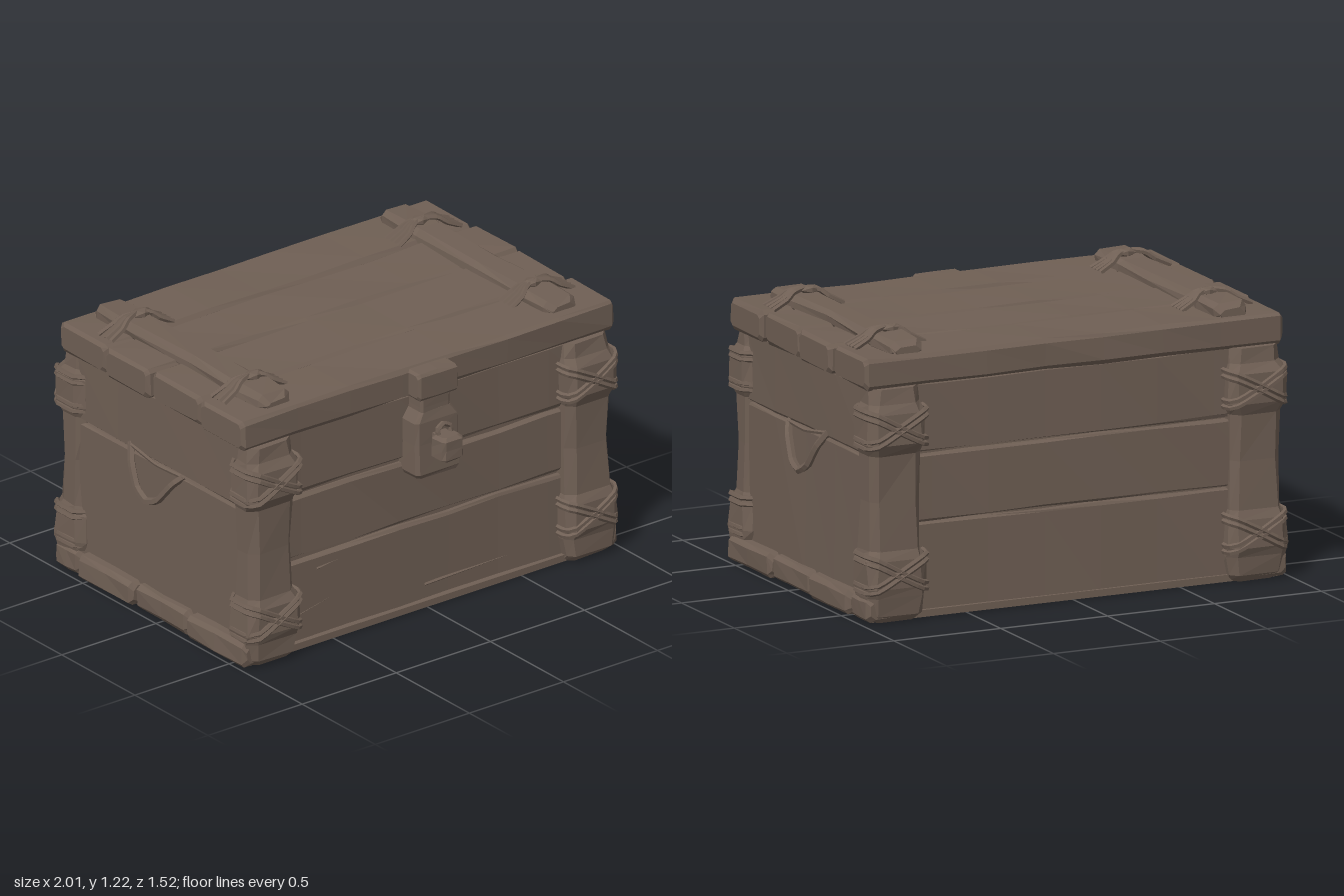
import * as THREE from 'three';

const wood = new THREE.MeshStandardMaterial({ color: 0x6f5f54 });
wood.name = 'weathered brown';

let seed = 7;
const rand = () => {
  seed = (seed * 16807) % 2147483647;
  return seed / 2147483647 - 0.5;
};

// Faceted mesh
function part(parent, name, geometry) {
  const g = geometry.index ? geometry.toNonIndexed() : geometry;
  g.computeVertexNormals();
  const mesh = new THREE.Mesh(g, wood);
  mesh.name = name;
  parent.add(mesh);
  return mesh;
}

// Hewn beam along an axis: levels are [t, a0, a1, b0, b1], chamfered rectangles.
// (a, b) is (y, z) for axis 0, (z, x) for axis 1 and (x, y) for axis 2.
function loft(axis, levels, c, jitter = 0) {
  const pos = [], idx = [];
  const push = (t, a, b) => {
    const p = [0, 0, 0];
    p[axis] = t;
    p[(axis + 1) % 3] = a;
    p[(axis + 2) % 3] = b;
    pos.push(...p);
  };
  levels.forEach(([t, a0, a1, b0, b1]) => {
    [[a1, b0 + c], [a1, b1 - c], [a1 - c, b1], [a0 + c, b1],
      [a0, b1 - c], [a0, b0 + c], [a0 + c, b0], [a1 - c, b0]]
      .forEach(([a, b]) => push(t, a + rand() * jitter, b + rand() * jitter));
  });
  const last = (levels.length - 1) * 8;
  for (let i = 0; i < last; i += 8) {
    for (let j = 0; j < 8; j++) {
      const k = (j + 1) % 8;
      idx.push(i + j, i + k, i + 8 + k, i + j, i + 8 + k, i + 8 + j);
    }
  }
  for (let j = 1; j < 7; j++) idx.push(0, j + 1, j, last, last + j, last + j + 1);
  const g = new THREE.BufferGeometry();
  g.setAttribute('position', new THREE.Float32BufferAttribute(pos, 3));
  g.setIndex(idx);
  return g;
}

// Straight beam with bevelled ends and slightly uneven edges
function beam(axis, t0, t1, a0, a1, b0, b1, c = 0.015, jitter = 0.008, n = 4) {
  const levels = [[t0, a0 + c, a1 - c, b0 + c, b1 - c]];
  for (let i = 0; i <= n; i++) levels.push([t0 + c + (t1 - t0 - 2 * c) * i / n, a0, a1, b0, b1]);
  levels.push([t1, a0 + c, a1 - c, b0 + c, b1 - c]);
  return loft(axis, levels, c, jitter);
}

function rope(points, radius, closed = false, steps = 20) {
  const curve = new THREE.CatmullRomCurve3(points.map(p => new THREE.Vector3(...p)), closed, 'catmullrom', 0.2);
  return new THREE.TubeGeometry(curve, steps, radius, 5, closed);
}

const span = (s, lo, hi) => (s > 0 ? [lo, hi] : [-hi, -lo]);

function buildBody(root) {
  const body = new THREE.Group();
  body.name = 'body';
  root.add(body);
  part(body, 'core', new THREE.BoxGeometry(1.84, 1.03, 1.16).translate(0, 0.52, -0.055));
  // Stacked planks on the front and back
  [[0.003, 0.395], [0.412, 0.692], [0.712, 1.005]].forEach(([y0, y1]) => {
    part(body, 'frontPlank', beam(0, -0.93, 0.93, y0, y1, 0.42, 0.55, 0.012, 0.011, 7));
    part(body, 'backPlank', beam(0, -0.93, 0.93, y0 - 0.002, y1 + 0.004, -0.67, -0.55, 0.008, 0.008, 7));
  });
  for (const s of [-1, 1]) {
    // Side boards
    for (const [y0, y1] of [[0.05, 0.699], [0.708, 1.005]]) {
      part(body, 'sideBoard', beam(2, -0.62, 0.52, ...span(s, 0.85, 0.945), y0, y1, 0.008, 0.006));
    }
    // Floor plank ends
    const cuts = [-0.725, -0.55, -0.17, 0.19, 0.6];
    for (let i = 0; i < 4; i++) {
      const out = 0.985 + 0.012 * (i % 2);
      part(body, 'floorPlankEnd', beam(2, cuts[i] + 0.004, cuts[i + 1] - 0.004,
        ...span(s, 0.8, out), 0.004, 0.112, 0.018, 0.008, 2));
    }
  }
  part(body, 'floor', new THREE.BoxGeometry(1.9, 0.03, 1.26).translate(0, 0.015, -0.055));
  // Long splinters along the front
  [[0.35, 0.1, 0.7, 0.02], [-0.6, 0.16, 0.35, 0.2], [-0.35, 0.36, 0.45, 0.12]].forEach(([x, y, len, tilt]) => {
    const m = part(body, 'splinter', new THREE.ConeGeometry(0.01, len, 4));
    m.position.set(x, y, 0.545);
    m.rotation.z = tilt - Math.PI / 2;
  });
}

function buildPost(root, sx, sz) {
  const post = new THREE.Group();
  post.name = (sz > 0 ? 'front' : 'back') + (sx > 0 ? 'Left' : 'Right') + 'Post';
  root.add(post);
  // Outer faces swell at the two bindings; inner faces sink into the body
  const front = sz > 0 ? 0.615 : 0.725, inner = sz > 0 ? 0.46 : 0.56;
  const rows = [[0, -0.025, 0.01], [0.03, 0.005, 0], [0.11, 0.012, -0.012], [0.15, 0.022, -0.015],
    [0.27, 0.016, -0.012], [0.31, -0.004, 0], [0.52, -0.012, 0.008], [0.72, -0.008, 0.004],
    [0.77, 0.018, -0.01], [0.9, 0.016, -0.008], [0.94, -0.01, 0.005], [1.005, -0.02, 0.01]];
  part(post, 'beam', loft(1, rows.map(([y, o, n]) =>
    [y, ...span(sz, inner + n, front + o), ...span(sx, 0.72 + n, 0.968 + o * 0.7)]), 0.035, 0.012));
  // Crossed rope bindings
  for (const y of [0.21, 0.835]) {
    for (const k of [-1, 1]) {
      for (const d of [-0.014, 0.014]) {
        const h = 0.065 * k, f = front + 0.022, x0 = 0.705, x1 = 0.978;
        part(post, 'binding', rope([
          [x0, y - h + d, inner], [x0, y - h + d, f - 0.03], [x0 + 0.04, y - h * 0.8 + d, f],
          [0.845, y + d, f + 0.006], [x1 - 0.04, y + h * 0.8 + d, f], [x1, y + h + d, f - 0.04],
          [x1, y + h + d, inner + 0.03], [x1 - 0.05, y + h + d, inner - 0.01],
        ].map(p => [p[0] * sx, p[1], p[2] * sz]), 0.0115));
      }
    }
  }
}

function buildLid(root) {
  const lid = new THREE.Group();
  lid.name = 'lid';
  root.add(lid);
  const cuts = [-0.695, -0.372, -0.064, 0.278, 0.585];
  for (let i = 0; i < 4; i++) {
    const w = 0.978 + 0.012 * (i % 2);
    part(lid, 'lidPlank', beam(0, -w, w, 1.003, 1.138, cuts[i] + 0.004, cuts[i + 1] - 0.004, 0.016, 0.009, 7));
  }
  part(lid, 'lidCore', new THREE.BoxGeometry(1.9, 0.1, 1.22).translate(0, 1.06, -0.055));
  for (const s of [-1, 1]) {
    part(lid, 'batten', loft(2, [
      [-0.65, 0.7, 0.82, 1.12, 1.165], [-0.62, 0.685, 0.835, 1.11, 1.19], [-0.47, 0.675, 0.84, 1.11, 1.192],
      [-0.4, 0.685, 0.835, 1.11, 1.185], [0.0, 0.68, 0.825, 1.11, 1.188], [0.28, 0.685, 0.84, 1.11, 1.185],
      [0.36, 0.67, 0.845, 1.11, 1.19], [0.49, 0.675, 0.84, 1.11, 1.185], [0.525, 0.7, 0.82, 1.12, 1.16],
    ].map(([t, a, b, y0, y1]) => [t, ...span(s, a, b), y0, y1]), 0.024, 0.01));
    // Lashings over each batten
    for (const z of [-0.44, 0.33]) {
      for (const k of [-1.3, -0.4, 0.4, 1.3]) {
        const d = 0.034 * k;
        part(lid, 'lashing', rope([
          [s * 0.6, 1.136, z - d], [s * 0.665, 1.17, z - d * 0.8], [s * 0.7, 1.198, z - d * 0.4],
          [s * 0.765, 1.206, z], [s * 0.825, 1.197, z + d * 0.5], [s * 0.86, 1.17, z + d * 0.8],
          [s * 0.93, 1.137, z + d],
        ], 0.012));
      }
      part(lid, 'knot', new THREE.IcosahedronGeometry(0.045, 0).scale(1.1, 0.45, 0.8).translate(s * 0.74, 1.2, z));
    }
  }
}

function buildLatch(root) {
  const latch = new THREE.Group();
  latch.name = 'latch';
  root.add(latch);
  part(latch, 'hingeBlock', beam(0, -0.108, 0.104, 1.005, 1.13, 0.54, 0.654, 0.012, 0.004, 2));
  part(latch, 'strap', beam(1, 0.9, 1.03, 0.53, 0.635, -0.082, 0.075, 0.01, 0.004, 2));
  part(latch, 'plate', loft(1, [
    [0.645, 0.5, 0.645, -0.105, 0.105], [0.665, 0.5, 0.652, -0.118, 0.118], [0.8, 0.5, 0.645, -0.115, 0.112],
    [0.9, 0.5, 0.645, -0.115, 0.11], [0.945, 0.5, 0.635, -0.085, 0.078],
  ], 0.014, 0.004));
  part(latch, 'padlock', beam(1, 0.74, 0.852, 0.66, 0.755, -0.057, 0.055, 0.014, 0.006, 2));
  part(latch, 'padlockNeck', new THREE.BoxGeometry(0.07, 0.09, 0.05).translate(0, 0.8, 0.65));
  part(latch, 'shackle', rope([[-0.032, 0.84, 0.69], [-0.034, 0.875, 0.685], [0, 0.892, 0.68],
    [0.032, 0.875, 0.685], [0.032, 0.84, 0.69]], 0.012, false, 12));
}

export function createModel() {
  seed = 7;
  const root = new THREE.Group();
  root.name = 'woodenChest';
  buildBody(root);
  for (const sx of [-1, 1]) for (const sz of [-1, 1]) buildPost(root, sx, sz);
  buildLid(root);
  buildLatch(root);
  // Sagging rope handles with a thin cord across the top
  for (const s of [-1, 1]) {
    part(root, 'handle', rope([[s * 0.935, 0.705, 0.115], [s * 0.965, 0.66, 0.07], [s * 0.985, 0.56, -0.01],
      [s * 0.99, 0.533, -0.08], [s * 0.985, 0.57, -0.15], [s * 0.97, 0.66, -0.205], [s * 0.935, 0.73, -0.25]], 0.017));
    part(root, 'handleCord', rope([[s * 0.944, 0.702, 0.12], [s * 0.95, 0.698, -0.06], [s * 0.944, 0.725, -0.25]], 0.009));
  }
  return root;
}
